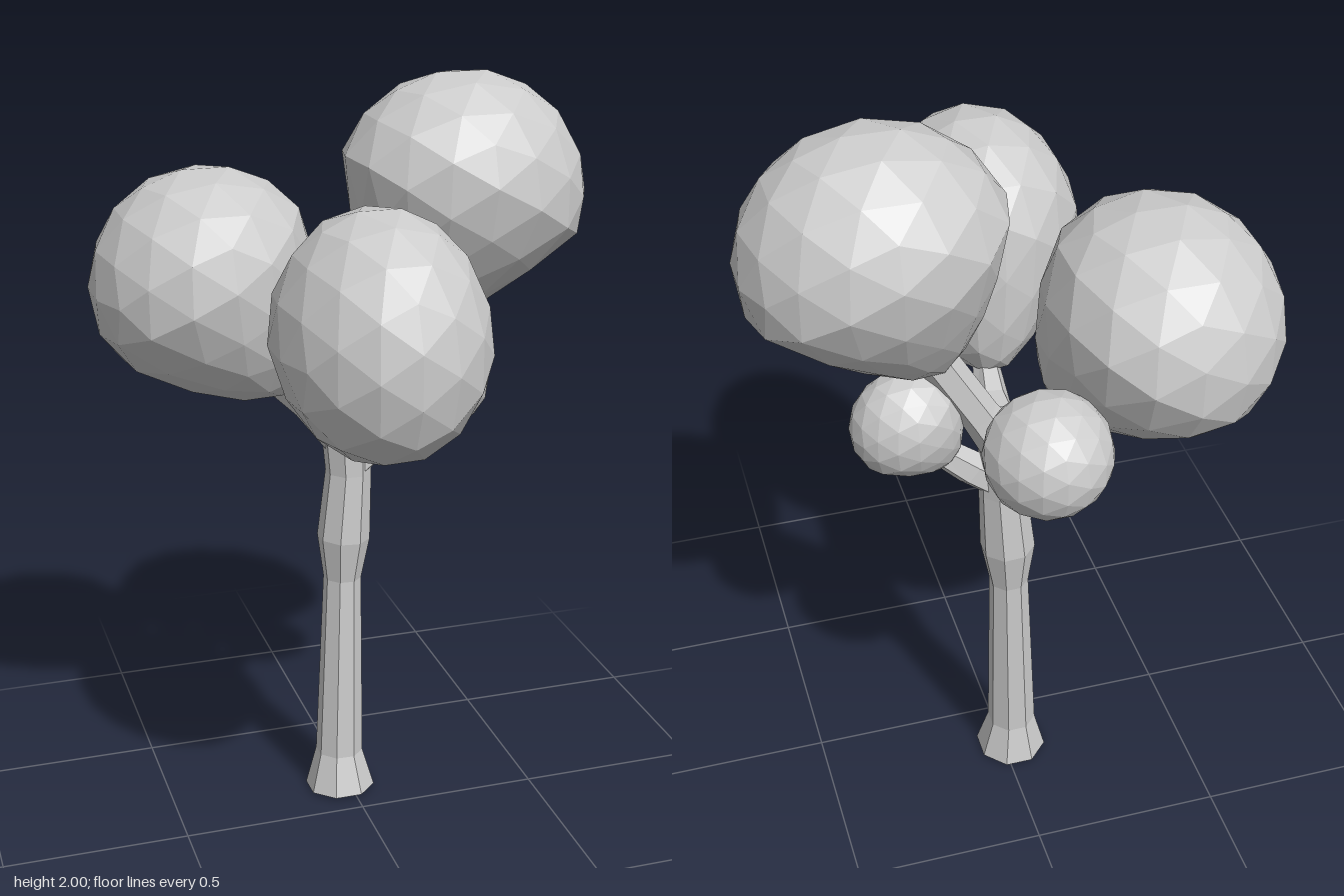
import * as THREE from 'three';

const material = new THREE.MeshStandardMaterial({ color: 0xcccccc, flatShading: true });
const UP = new THREE.Vector3(0, 1, 0);

// Faceted limb lofted through stations [x, y, z, radius], closed at both ends
function limb(name, stations, sides = 8) {
  const centres = stations.map(([x, y, z]) => new THREE.Vector3(x, y, z));
  const positions = [], index = [];
  const last = stations.length - 1;
  centres.forEach((c, i) => {
    const tangent = centres[Math.min(i + 1, last)].clone()
      .sub(centres[Math.max(i - 1, 0)]).normalize();
    const q = new THREE.Quaternion().setFromUnitVectors(UP, tangent);
    for (let s = 0; s < sides; s++) {
      const a = ((s + 0.5) / sides) * Math.PI * 2;
      const v = new THREE.Vector3(Math.sin(a), 0, Math.cos(a))
        .multiplyScalar(stations[i][3]).applyQuaternion(q).add(c);
      positions.push(v.x, v.y, v.z);
    }
  });
  for (let i = 0; i < last; i++) {
    for (let s = 0; s < sides; s++) {
      const a = i * sides + s, b = i * sides + (s + 1) % sides;
      index.push(a, b, b + sides, a, b + sides, a + sides);
    }
  }
  for (let s = 1; s < sides - 1; s++) {
    const t = last * sides;
    index.push(0, s + 1, s, t, t + s, t + s + 1);
  }
  const geometry = new THREE.BufferGeometry();
  geometry.setAttribute('position', new THREE.Float32BufferAttribute(positions, 3));
  geometry.setIndex(index);
  geometry.computeVertexNormals();
  const mesh = new THREE.Mesh(geometry, material);
  mesh.name = name;
  return mesh;
}

// Faceted ball narrowed towards its branch, fitted between two corners
function foliage(name, min, max, towards, pinch) {
  const geometry = new THREE.IcosahedronGeometry(1, 2);
  const dir = new THREE.Vector3(...towards).normalize();
  const p = geometry.attributes.position;
  const v = new THREE.Vector3();
  for (let i = 0; i < p.count; i++) {
    v.fromBufferAttribute(p, i);
    const t = v.dot(dir);
    if (t > 0) {
      v.addScaledVector(dir, -t).multiplyScalar(1 - pinch * t);
      v.addScaledVector(dir, t * (1 + 0.35 * pinch));
    }
    p.setXYZ(i, v.x, v.y, v.z);
  }
  geometry.computeBoundingBox();
  const size = geometry.boundingBox.getSize(new THREE.Vector3());
  const centre = geometry.boundingBox.getCenter(new THREE.Vector3());
  geometry.translate(-centre.x, -centre.y, -centre.z);
  geometry.scale(...[0, 1, 2].map(k => (max[k] - min[k]) / size.getComponent(k)));
  geometry.translate(...[0, 1, 2].map(k => (max[k] + min[k]) / 2));
  geometry.computeVertexNormals();
  const mesh = new THREE.Mesh(geometry, material);
  mesh.name = name;
  return mesh;
}

export function createModel() {
  const tree = new THREE.Group();
  tree.name = 'tree';

  // Trunk with a flared foot and a knot below the fork
  tree.add(limb('trunk', [
    [-0.025, 0, -0.14, 0.097], [-0.025, 0.11, -0.145, 0.066],
    [-0.01, 0.64, -0.158, 0.052], [-0.006, 0.76, -0.158, 0.072],
    [0.008, 0.95, -0.157, 0.062], [0.003, 1.08, -0.16, 0.068],
    [0.0, 1.17, -0.165, 0.06],
  ]));

  // Branches
  tree.add(
    limb('upperBranch', [[0.0, 1.08, -0.16, 0.06], [0.07, 1.2, -0.16, 0.05], [0.2, 1.42, -0.15, 0.05]], 6),
    limb('rightBranch', [[-0.01, 1.05, -0.16, 0.055], [-0.1, 1.15, -0.17, 0.045], [-0.24, 1.28, -0.22, 0.045]], 6),
    limb('frontBranch', [[0.0, 1.12, -0.18, 0.05], [-0.005, 1.125, -0.02, 0.045], [-0.02, 1.17, 0.1, 0.035], [-0.03, 1.26, 0.18, 0.035]], 6),
    limb('backBranch', [[0.0, 1.08, -0.15, 0.055], [0.0, 1.18, -0.25, 0.055], [-0.005, 1.27, -0.38, 0.05]], 6),
    limb('leftBranch', [[0.01, 0.97, -0.15, 0.05], [0.09, 1.03, -0.15, 0.047], [0.21, 1.13, -0.14, 0.035]], 6),
  );

  // Leaf masses
  tree.add(
    foliage('upperFoliage', [0, 1.34, -0.43], [0.635, 2, 0.13], [-0.35, -0.9, 0], 0.5),
    foliage('rightFoliage', [-0.64, 1.17, -0.585], [-0.06, 1.77, 0.05], [0.55, -0.75, 0.3], 0.35),
    foliage('frontFoliage', [-0.31, 1.13, 0], [0.21, 1.765, 0.61], [0.1, -0.75, -0.6], 0.4),
    foliage('backFoliage', [-0.17, 1.13, -0.61], [0.145, 1.425, -0.26], [0, -0.3, 1], 0.35),
    foliage('leftFoliage', [0.11, 1.045, -0.26], [0.39, 1.335, -0.02], [-0.6, -0.7, 0], 0.3),
  );
  return tree;
}
